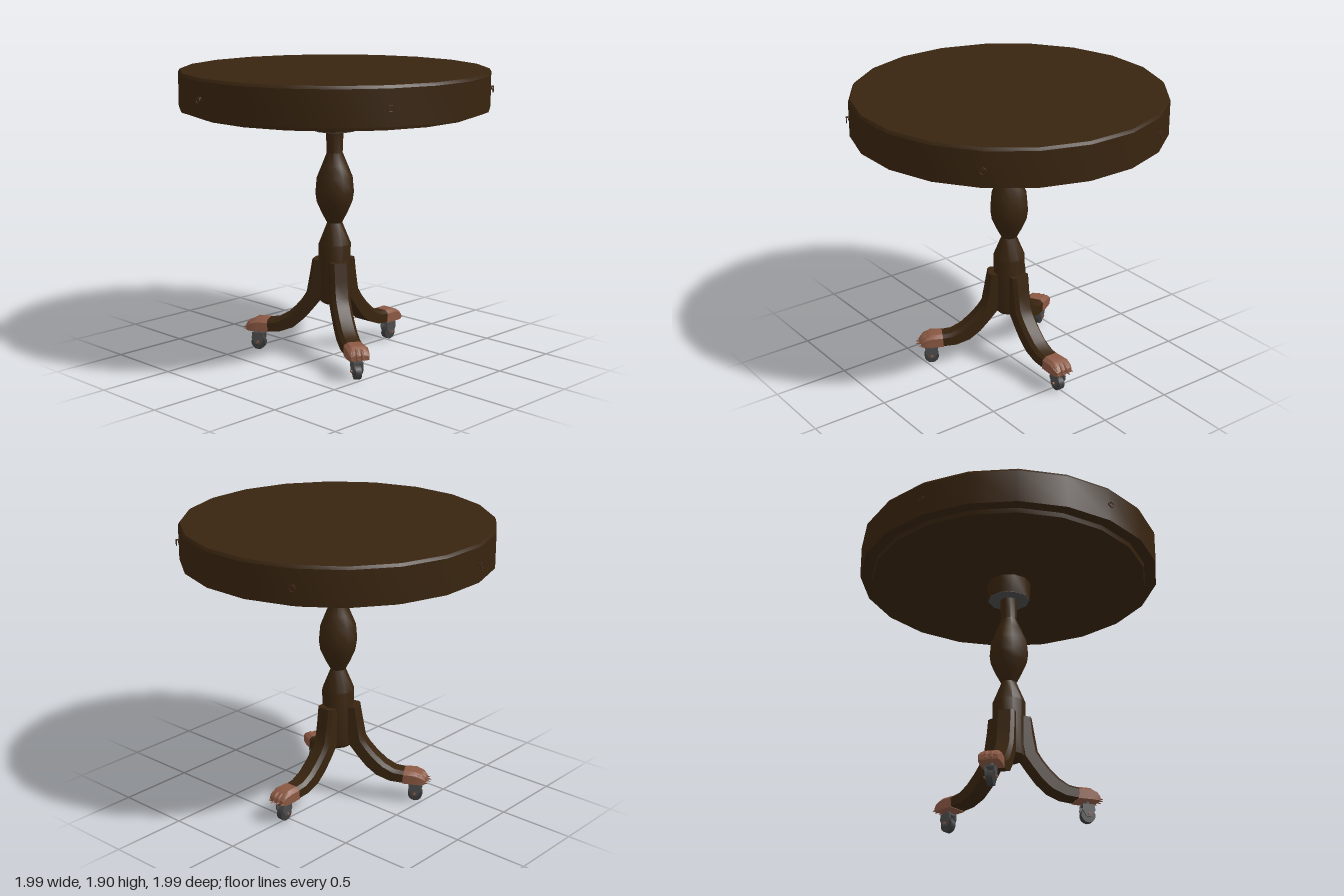
import * as THREE from 'three';
import { toCreasedNormals } from 'three/addons/utils/BufferGeometryUtils.js';

const material = (name, color) => {
  const m = new THREE.MeshStandardMaterial({ color });
  m.name = name;
  return m;
};

const wood = material('dark wood', 0x38240f);
const copper = material('copper', 0x8a5843);
const bronze = material('dark bronze', 0x3f2416);
const steel = material('steel', 0x4c4c4c);
const rubber = material('wheel grey', 0x3c3c3c);

function add(parent, name, geometry, mat, x = 0, y = 0, z = 0) {
  const mesh = new THREE.Mesh(geometry, mat);
  mesh.name = name;
  mesh.position.set(x, y, z);
  parent.add(mesh);
  return mesh;
}

// Turned part, profile listed from bottom to top
function turned(profile, sides, start, crease) {
  const pts = profile.map(([r, y]) => new THREE.Vector2(r, y));
  return toCreasedNormals(new THREE.LatheGeometry(pts, sides, start), crease);
}

// Skin over a row of closed rings, with both ends capped
function loft(rings, crease) {
  const n = rings[0].length;
  const index = [];
  for (let i = 0; i < rings.length - 1; i++) {
    for (let j = 0; j < n; j++) {
      const a = i * n + j, b = i * n + (j + 1) % n;
      index.push(a, b, a + n, b, b + n, a + n);
    }
  }
  const last = (rings.length - 1) * n;
  for (let j = 1; j < n - 1; j++) {
    index.push(0, j + 1, j, last, last + j, last + j + 1);
  }
  const g = new THREE.BufferGeometry();
  g.setAttribute('position', new THREE.Float32BufferAttribute(rings.flat(2), 3));
  g.setIndex(index);
  return toCreasedNormals(g, crease);
}

// Chamfered ring between an outer (upper) and inner (lower) point
function ring([ox, oy, ix, iy], half) {
  const at = (t, z) => [ox + (ix - ox) * t, oy + (iy - oy) * t, z];
  return [at(0, -half * 0.65), at(0, half * 0.65), at(0.25, half),
    at(1, half), at(1, -half), at(0.25, -half)];
}

function createLeg() {
  const leg = new THREE.Group();
  leg.name = 'leg';
  const curve = [
    [0.14, 0.655, 0.07, 0.655], [0.16, 0.54, 0.07, 0.5], [0.18, 0.43, 0.09, 0.385],
    [0.213, 0.38, 0.14, 0.318], [0.26, 0.325, 0.2, 0.245], [0.325, 0.265, 0.27, 0.185],
    [0.39, 0.228, 0.36, 0.15], [0.46, 0.218, 0.45, 0.143],
  ];
  add(leg, 'curvedLeg', loft(curve.map((c) => ring(c, 0.063)), 0.55), wood);

  // Paw: instep, four toes and pointed claws
  const paw = [
    [0.452, 0.222, 0.445, 0.139, 0.066], [0.53, 0.222, 0.53, 0.139, 0.07],
    [0.575, 0.198, 0.575, 0.139, 0.066], [0.595, 0.175, 0.595, 0.142, 0.058],
  ];
  add(leg, 'paw', loft(paw.map((p) => ring(p, p[4])), 0.6), copper);
  for (const k of [-1.5, -0.5, 0.5, 1.5]) {
    const reach = Math.abs(k) > 1 ? -0.015 : 0;
    const toe = add(leg, 'toe', new THREE.SphereGeometry(1, 8, 6), copper,
      0.565 + reach, 0.172, k * 0.034);
    toe.scale.set(0.045, 0.034, 0.017);
    toe.rotation.z = -0.45;
    const claw = add(leg, 'claw', new THREE.ConeGeometry(0.012, 0.045, 5), copper,
      0.61 + reach, 0.152, k * 0.036);
    claw.rotation.z = -Math.PI / 2 - 0.2;
  }

  // Castor: stem, fork, wheel and axle
  const castor = new THREE.Group();
  castor.name = 'castor';
  castor.position.x = 0.525;
  leg.add(castor);
  add(castor, 'stem', new THREE.CylinderGeometry(0.017, 0.017, 0.04, 8), steel, 0, 0.132, 0);
  add(castor, 'forkBridge', new THREE.BoxGeometry(0.075, 0.012, 0.064), steel, 0, 0.114, 0);
  const arm = new THREE.Shape();
  arm.moveTo(-0.04, 0.118);
  arm.lineTo(-0.043, 0.08);
  arm.lineTo(-0.018, 0.038);
  arm.lineTo(0.018, 0.038);
  arm.lineTo(0.043, 0.08);
  arm.lineTo(0.04, 0.118);
  const armGeometry = new THREE.ExtrudeGeometry(arm, { depth: 0.008, bevelEnabled: false });
  for (const z of [-0.032, 0.024]) add(castor, 'forkArm', armGeometry, steel, 0, 0, z);
  const wheel = add(castor, 'wheel', toCreasedNormals(
    new THREE.CylinderGeometry(0.048, 0.048, 0.04, 14), 0.6), rubber, 0, 0.048, 0);
  const axle = add(castor, 'axle', new THREE.CylinderGeometry(0.009, 0.009, 0.084, 8),
    copper, 0, 0.055, 0);
  wheel.rotation.x = axle.rotation.x = Math.PI / 2;
  return leg;
}

// Ring pull, facing local +x
function createPull() {
  const pull = new THREE.Group();
  pull.name = 'ringPull';
  const plate = add(pull, 'backPlate', new THREE.CylinderGeometry(0.014, 0.014, 0.008, 8),
    bronze, 0.997, 1.777, 0);
  const stud = add(pull, 'stud', new THREE.CylinderGeometry(0.005, 0.005, 0.022, 6),
    bronze, 1.005, 1.785, 0);
  plate.rotation.z = stud.rotation.z = Math.PI / 2;
  const hoop = add(pull, 'ring', new THREE.TorusGeometry(0.019, 0.0035, 6, 12),
    bronze, 1.011, 1.768, 0);
  hoop.rotation.y = Math.PI / 2;
  return pull;
}

export function createModel() {
  const table = new THREE.Group();
  table.name = 'pedestalTable';
  const body = new THREE.Group();
  body.name = 'tableBody';
  body.position.set(0.004, 0, 0.006);
  table.add(body);

  // Twenty-sided drum top with a recessed underside board
  add(body, 'drumTop', turned([
    [0, 1.63], [0.915, 1.63], [0.92, 1.66], [0.997, 1.66],
    [0.997, 1.882], [0.986, 1.9], [0, 1.9],
  ], 20, Math.PI / 20, 0.4), wood);

  // Collar under the top, with a metal plate below
  add(body, 'collar', turned([[0, 1.507], [0.139, 1.507], [0.146, 1.635]],
    10, Math.PI / 2, 0.7), wood);
  add(body, 'collarPlate', turned([[0, 1.503], [0.137, 1.503], [0.137, 1.508]],
    10, Math.PI / 2, 0.7), steel);

  // Turned column
  add(body, 'column', turned([
    [0, 0.36], [0.08, 0.362], [0.103, 0.385], [0.107, 0.76], [0.05, 0.9],
    [0.085, 0.965], [0.118, 1.04], [0.127, 1.1], [0.118, 1.2], [0.085, 1.28],
    [0.052, 1.36], [0.058, 1.51],
  ], 10, Math.PI / 2, 0.7), wood);

  for (let i = 0; i < 3; i++) {
    const leg = createLeg();
    leg.rotation.y = (i * Math.PI * 2) / 3;
    body.add(leg);
  }

  // Five pulls, each on a corner of the rim
  for (let i = 0; i < 5; i++) {
    const pull = createPull();
    pull.rotation.y = -Math.PI / 4 + (i * Math.PI * 2) / 5;
    body.add(pull);
  }
  return table;
}
